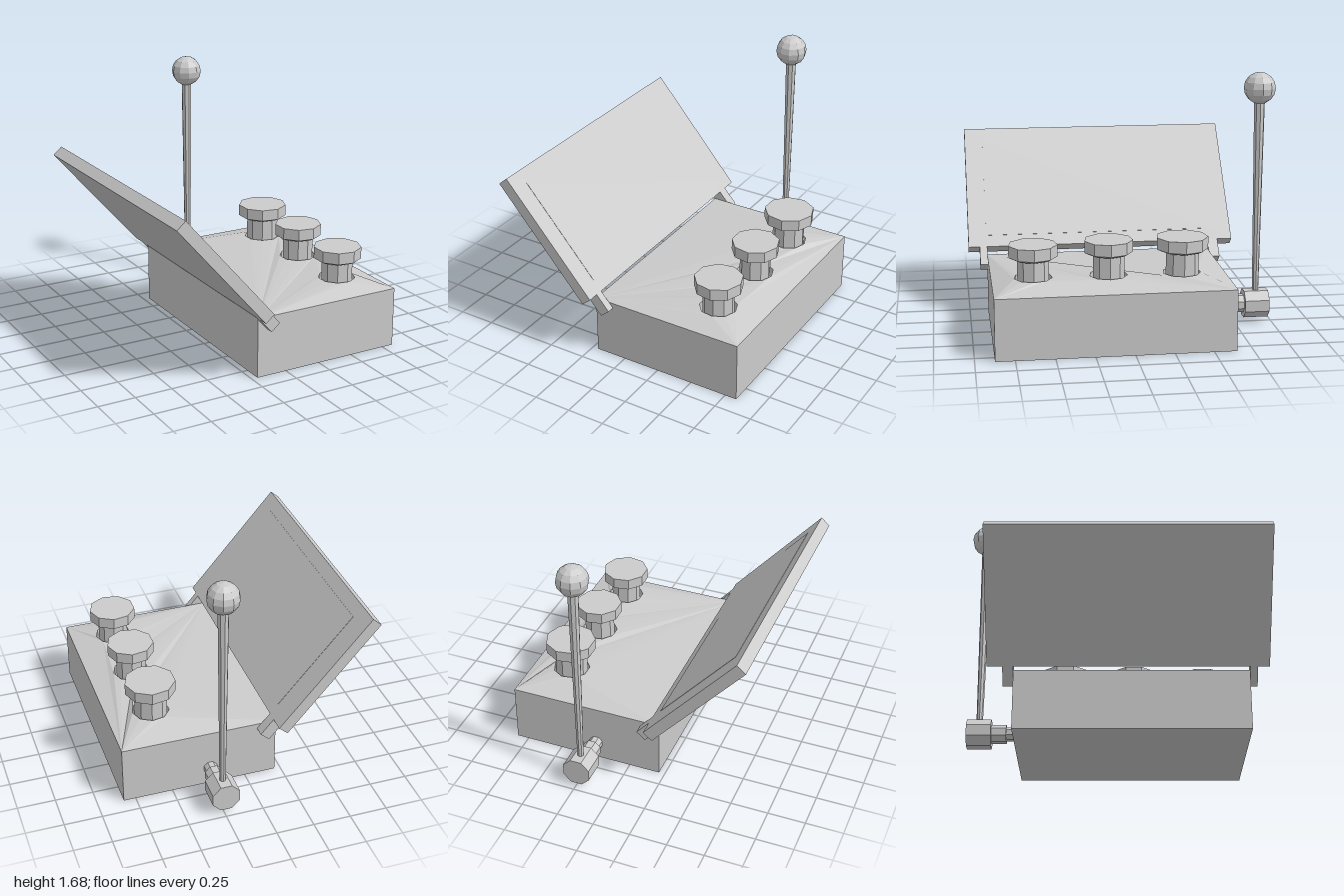
import * as THREE from 'three';

const grey = new THREE.MeshStandardMaterial({ color: 0xcccccc, flatShading: true });
const pale = new THREE.MeshStandardMaterial({ color: 0xe0e0e0, flatShading: true });

function add(parent, name, geometry, x = 0, y = 0, z = 0, material = grey) {
  const mesh = new THREE.Mesh(geometry, material);
  mesh.name = name;
  mesh.position.set(x, y, z);
  parent.add(mesh);
  return mesh;
}

export function createModel() {
  const model = new THREE.Group();
  model.name = 'controlBox';

  const x0 = -0.21, x1 = 0.83, z0 = -0.645, z1 = 0.875;
  const pitFloor = 0.37, rimY = 0.4, crownY = 0.45, buttonX = 0.548;
  const buttons = [
    { z: 0.615, r: 0.157, stem: 0.102, top: 0.665 },
    { z: 0.137, r: 0.157, stem: 0.102, top: 0.68 },
    { z: -0.335, r: 0.167, stem: 0.108, top: 0.685 },
  ];

  // Lower body
  add(model, 'body', new THREE.BoxGeometry(x1 - x0, pitFloor, z1 - z0),
    (x0 + x1) / 2, pitFloor / 2, (z0 + z1) / 2);

  // Top plate: button holes raised above the four outer corners
  const outline = new THREE.Shape();
  outline.moveTo(x0, -z1).lineTo(x1, -z1).lineTo(x1, -z0).lineTo(x0, -z0).closePath();
  for (const b of buttons) {
    const points = [];
    for (let i = 0; i < 9; i++) {
      const a = (-i / 9) * Math.PI * 2;
      points.push(new THREE.Vector2(buttonX + Math.cos(a) * 0.122, -b.z + Math.sin(a) * 0.122));
    }
    outline.holes.push(new THREE.Path(points));
  }
  const plate = new THREE.ExtrudeGeometry(outline, { depth: rimY - pitFloor, bevelEnabled: false });
  plate.rotateX(-Math.PI / 2);
  const pos = plate.attributes.position;
  for (let i = 0; i < pos.count; i++) {
    const inside = pos.getX(i) > x0 + 0.1 && pos.getX(i) < x1 - 0.1;
    if (inside && pos.getY(i) > 0.01) pos.setY(i, crownY - pitFloor);
  }
  plate.computeVertexNormals();
  add(model, 'topPlate', plate, 0, pitFloor, 0);

  // Push buttons: stem and bevelled cap
  buttons.forEach((b) => {
    const button = new THREE.Group();
    button.name = 'button';
    button.position.set(buttonX, 0, b.z);
    button.rotation.y = Math.PI / 2;
    const capBase = b.top - 0.08;
    add(button, 'buttonStem', new THREE.CylinderGeometry(b.stem, b.stem, capBase - 0.36, 9),
      0, (capBase + 0.36) / 2, 0);
    const profile = [[0, -0.012], [b.r * 0.8, -0.012], [b.r, 0.004], [b.r, 0.08], [0, 0.08]]
      .map(([r, y]) => new THREE.Vector2(r, y));
    add(button, 'buttonCap', new THREE.LatheGeometry(profile, 9), 0, capBase, 0);
    model.add(button);
  });

  // Open lid, its local x running down from the free edge to the hinge
  const lid = new THREE.Group();
  lid.name = 'lid';
  lid.position.set(-0.805, 1.145, 0);
  lid.rotation.z = -0.859;
  const thick = 0.078, lidLength = 0.93;
  add(lid, 'lidBoard', new THREE.BoxGeometry(lidLength, thick, 1.815), lidLength / 2, 0, 0.0925);
  add(lid, 'lidPanel', new THREE.BoxGeometry(0.753, 0.004, 1.525), 0.4685, thick / 2, 0.115, pale);
  for (const [z, width] of [[0.9, 0.05], [-0.68, 0.07]]) {
    add(lid, 'hingeArm', new THREE.BoxGeometry(0.183, thick, width), 0.9715, 0, z);
  }
  model.add(lid);

  // Side crank: stepped pivot, tapered rod, ball knob
  const lever = new THREE.Group();
  lever.name = 'lever';
  lever.position.set(0.24, 0, 0);
  for (const [name, r, from, to] of [
    ['pivotPin', 0.046, -0.63, -0.71],
    ['pivotCollar', 0.062, -0.71, -0.81],
    ['pivotHub', 0.098, -0.81, -0.973],
  ]) {
    const geometry = new THREE.CylinderGeometry(r, r, from - to, 8);
    geometry.rotateY(Math.PI / 8).rotateX(Math.PI / 2);
    add(lever, name, geometry, 0, 0.126, (from + to) / 2);
  }
  add(lever, 'leverRod', new THREE.CylinderGeometry(0.036, 0.021, 1.35, 8), 0, 0.845, -0.893);
  add(lever, 'leverKnob', new THREE.SphereGeometry(0.104, 10, 8), 0, 1.577, -0.893);
  model.add(lever);

  return model;
}
